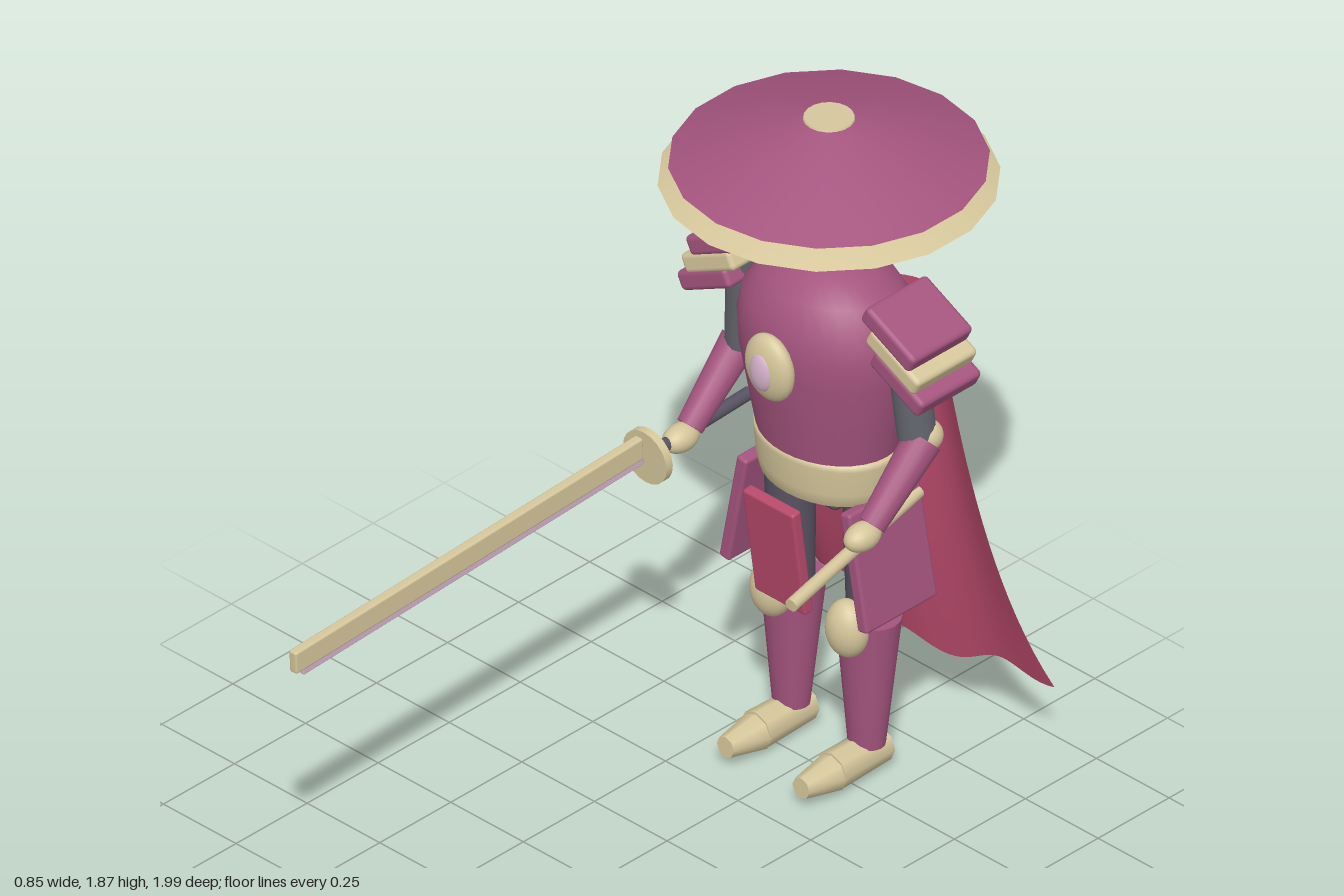
import * as THREE from 'three';
import { RoundedBoxGeometry } from 'three/addons/geometries/RoundedBoxGeometry.js';

const Z = -0.57; // depth of the body's centre line
const mat = (name, color, side = THREE.FrontSide) => {
  const m = new THREE.MeshStandardMaterial({ color, side });
  m.name = name;
  return m;
};

export function createModel() {
  const plum = mat('plum armour', 0xa4547e, THREE.DoubleSide);
  const sand = mat('sand trim', 0xd5c69b, THREE.DoubleSide);
  const crimson = mat('crimson cloth', 0xb94a6c, THREE.DoubleSide);
  const grey = mat('grey sleeve', 0x64666e);
  const dusk = mat('dark cloth', 0x575262);
  const lilac = mat('pale lilac', 0xd6b2cb);

  const model = new THREE.Group();
  model.name = 'warrior';

  const add = (name, geometry, material, x = 0, y = 0, z = 0, parent = model) => {
    const m = new THREE.Mesh(geometry, material);
    m.name = name;
    m.position.set(x, y, z);
    parent.add(m);
    return m;
  };
  const box = (name, w, h, d, material, x, y, z, parent = model) =>
    add(name, new RoundedBoxGeometry(w, h, d, 2, Math.min(w, h, d) * 0.25), material, x, y, z, parent);
  const ball = (name, rx, ry, rz, material, x, y, z) => {
    const m = add(name, new THREE.SphereGeometry(1, 24, 16), material, x, y, z);
    m.scale.set(rx, ry, rz);
    return m;
  };
  const lathe = (name, points, material, depth = 1, sides = 32) => {
    const g = new THREE.LatheGeometry(points.map(p => new THREE.Vector2(...p)), sides);
    const m = add(name, g, material, 0, 0, Z);
    m.scale.z = depth;
    return m;
  };
  // Tapered cylinder running from a (radius ra) to b (radius rb)
  const rod = (name, a, b, ra, rb, material, sides = 16) => {
    const p = new THREE.Vector3(...a), q = new THREE.Vector3(...b);
    const dir = q.clone().sub(p);
    const m = add(name, new THREE.CylinderGeometry(rb, ra, dir.length(), sides), material);
    m.position.copy(p).add(q).multiplyScalar(0.5);
    m.quaternion.setFromUnitVectors(new THREE.Vector3(0, 1, 0), dir.normalize());
    return m;
  };

  // Wide hat: sand underside, plum crown and a flat cap
  lathe('hatBrim', [[0.424, 1.7], [0.3, 1.752], [0, 1.835]], sand, 1, 18);
  lathe('hatCrown', [[0.398, 1.751], [0.35, 1.77], [0.2, 1.832], [0.065, 1.873]], plum, 1, 18);
  add('hatCap', new THREE.CylinderGeometry(0.063, 0.067, 0.01, 18), sand, 0, 1.873, Z);

  // Head and visor
  ball('head', 0.145, 0.17, 0.166, plum, 0, 1.625, Z);
  box('visor', 0.19, 0.042, 0.065, lilac, 0, 1.628, -0.415);

  // Torso, belt and chest medallion
  lathe('torso', [[0.19, 0.92], [0.203, 0.98], [0.222, 1.08], [0.245, 1.2], [0.25, 1.28],
    [0.235, 1.35], [0.19, 1.415], [0.12, 1.457], [0.05, 1.472], [0, 1.474]], plum, 0.81);
  lathe('belt', [[0, 0.825], [0.175, 0.825], [0.192, 0.835], [0.2, 0.87], [0.209, 0.945],
    [0.207, 0.96], [0.19, 0.965]], sand, 0.78);
  ball('medallion', 0.077, 0.096, 0.04, sand, 0, 1.235, -0.362).rotation.x = 0.05;
  ball('medallionGem', 0.037, 0.055, 0.02, lilac, 0, 1.235, -0.333);
  box('hips', 0.2, 0.06, 0.16, dusk, 0, 0.815, Z);

  // Skirt front flap, leaning back toward the legs
  box('frontFlap', 0.175, 0.32, 0.032, crimson, 0, 0.68, -0.39).rotation.x = 0.14;

  for (const s of [1, -1]) {
    // Layered shoulder plates
    [[0.302, 1.405, plum], [0.318, 1.345, sand], [0.332, 1.287, plum]].forEach(([x, y, m], i) => {
      box('shoulderPlate' + (i + 1), 0.188, 0.054, 0.215, m, s * x, y, Z).rotation.z = -s * 0.47;
    });

    // Arm
    rod('upperArm', [s * 0.27, 1.38, -0.56], [s * 0.297, 1.075, -0.575], 0.054, 0.05, grey);
    ball('elbow', 0.042, 0.042, 0.042, sand, s * 0.315, 1.072, -0.592);
    rod('forearm', [s * 0.316, 1.065, -0.578], [s * 0.313, 0.895, -0.4], 0.05, 0.036, plum);
    ball('hand', 0.038, 0.037, 0.055, sand, s * 0.313, 0.877, -0.368);

    // Leg
    box('sideFlap', 0.036, 0.33, 0.25, plum, s * 0.208, 0.68, -0.567).rotation.z = s * 0.19;
    rod('thigh', [s * 0.138, 0.84, Z], [s * 0.13, 0.42, -0.577], 0.068, 0.055, dusk);
    ball('knee', 0.06, 0.08, 0.052, sand, s * 0.13, 0.457, -0.502);
    rod('shin', [s * 0.13, 0.09, -0.57], [s * 0.13, 0.465, -0.577], 0.05, 0.088, plum).scale.z = 0.9;

    // Foot with a tapered toe
    rod('foot', [s * 0.13, 0.06, -0.622], [s * 0.13, 0.06, -0.445], 0.047, 0.052, sand, 8);
    rod('toe', [s * 0.13, 0.056, -0.45], [s * 0.13, 0.06, -0.338], 0.051, 0.029, sand, 8);
  }

  // Cape: a sheet that the back presses through, with a ridge each side and curled hem corners
  const cape = new THREE.PlaneGeometry(2, 1, 48, 20);
  const pos = cape.attributes.position;
  for (let i = 0; i < pos.count; i++) {
    const u = pos.getX(i), v = pos.getY(i) + 0.5;
    const y = THREE.MathUtils.lerp(0.222 + 0.022 * Math.cos(3 * Math.PI * u), 1.37, v);
    const t = (1.37 - y) / 1.17;
    const ridge = Math.sin(0.8 * Math.PI * u) ** 2;
    const curl = 0.085 * u ** 4 * t ** 4;
    const z = -0.7 - 0.14 * t ** 1.7 - 0.056 * ridge - curl;
    pos.setXYZ(i, u * (0.41 - 0.16 * (y - 0.2)), y, z);
  }
  cape.computeVertexNormals();
  add('cape', cape, crimson);

  // Long sword held in the right hand, dipping slightly forward
  const sword = new THREE.Group();
  sword.name = 'sword';
  sword.position.set(-0.315, 0.877, -0.255);
  sword.rotation.x = 0.044;
  model.add(sword);
  const alongZ = (name, r, length, material, z, sides) => {
    add(name, new THREE.CylinderGeometry(r, r, length, sides), material, 0, 0, z, sword)
      .rotation.x = Math.PI / 2;
  };
  alongZ('guard', 0.075, 0.022, sand, 0, 20);
  alongZ('grip', 0.018, 0.36, dusk, -0.175, 12);
  box('blade', 0.026, 0.064, 1.225, sand, 0, 0.04, 0.638, sword);
  box('bladeEdge', 0.014, 0.026, 1.2, lilac, 0, 0.001, 0.62, sword);

  // Short sheath at the left hip
  rod('sheath', [0.253, 0.735, -0.178], [0.195, 0.805, -0.685], 0.018, 0.018, sand, 10);

  return model;
}
